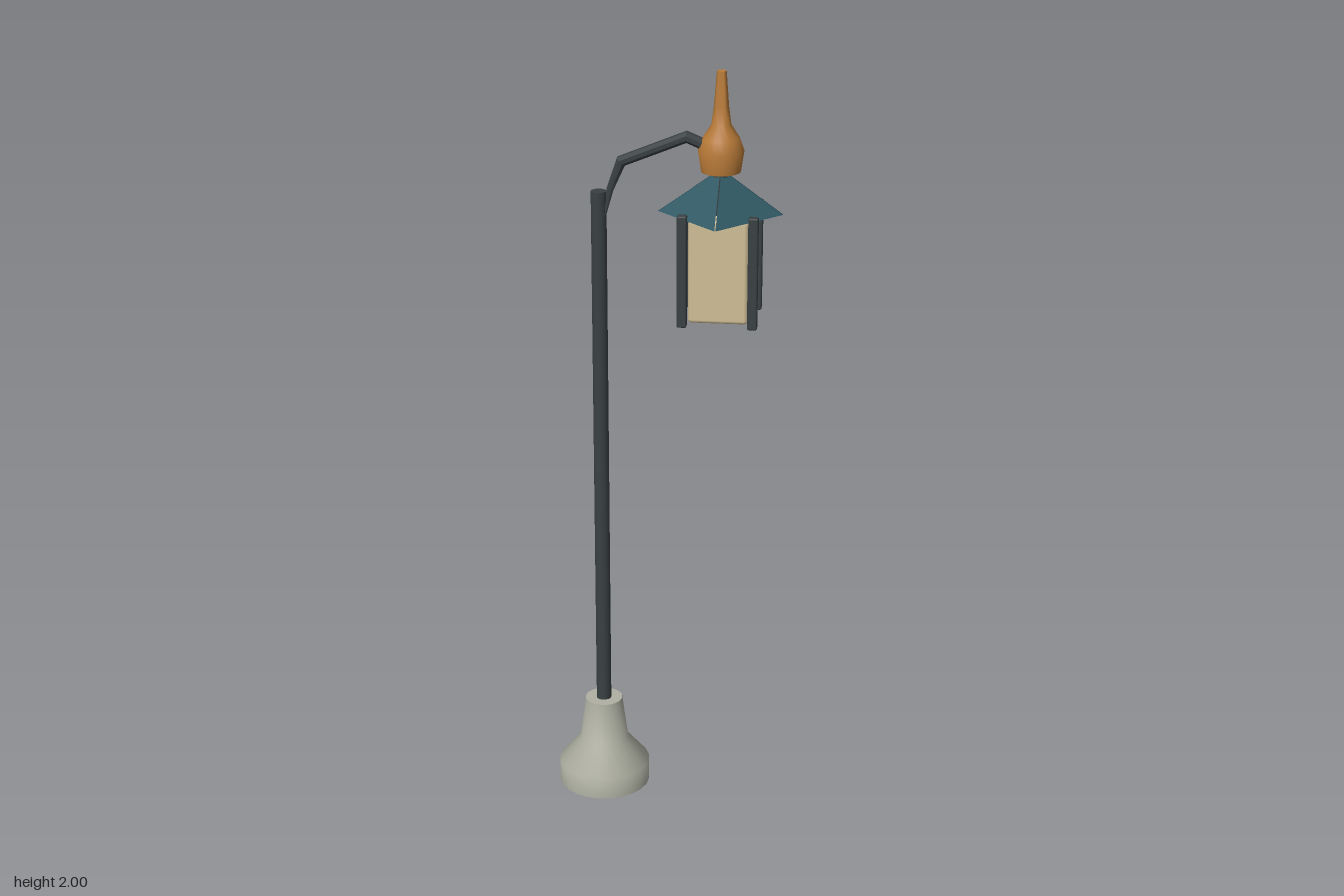
import * as THREE from 'three';
import { toCreasedNormals } from 'three/addons/utils/BufferGeometryUtils.js';
import { RoundedBoxGeometry } from 'three/addons/geometries/RoundedBoxGeometry.js';

const POLE_X = -0.172;
const LAMP_X = 0.136;

const mat = (name, color, extra = {}) => Object.assign(new THREE.MeshStandardMaterial({ color, ...extra }), { name });

export function createModel() {
  const iron = mat('dark iron', 0x3a4143);
  const stone = mat('pale stone', 0xb0b1a3);
  const copper = mat('copper', 0xb87a38);
  const slate = mat('teal roof', 0x30596400 >>> 8, { flatShading: true, side: THREE.DoubleSide });
  const glass = mat('cream glass', 0xd2c198);

  const model = new THREE.Group();
  model.name = 'streetLamp';
  const add = (name, geometry, material, x = 0, y = 0, z = 0) => {
    const mesh = new THREE.Mesh(geometry, material);
    mesh.name = name;
    mesh.position.set(x, y, z);
    model.add(mesh);
    return mesh;
  };
  const lathe = (points, sides) => toCreasedNormals(
    new THREE.LatheGeometry(points.map(([r, y]) => new THREE.Vector2(r, y)), sides), 0.85);

  // Stone foot and pole
  add('base', lathe([[0, 0], [0.123, 0], [0.123, 0.06], [0.065, 0.13], [0.05, 0.25], [0, 0.25]], 24), stone, POLE_X);
  add('pole', new THREE.CylinderGeometry(0.02, 0.02, 1.445, 16), iron, POLE_X, 0.9625);

  // Bent arm: [x, y, thickness, width, tilt] sections joined by an eight-sided skin
  const sections = [
    [-0.16, 1.61, 0.003, 0.012, 1.25],
    [-0.143, 1.69, 0.009, 0.005, 1.2],
    [-0.114, 1.764, 0.014, 0.018, 0.8],
    [0.05, 1.831, 0.014, 0.018, 0.0],
    [0.1, 1.81, 0.013, 0.018, -0.4],
  ];
  const sides = 8;
  const positions = [];
  const index = [];
  sections.forEach(([x, y, thick, wide, tilt], s) => {
    for (let i = 0; i < sides; i++) {
      const a = ((i + 0.5) / sides) * Math.PI * 2;
      const up = Math.cos(a) * thick * 1.08;
      positions.push(x - Math.sin(tilt) * up, y + Math.cos(tilt) * up, Math.sin(a) * wide * 1.08);
      if (s === 0) continue;
      const j = (i + 1) % sides;
      const p = (s - 1) * sides;
      const q = s * sides;
      index.push(p + i, p + j, q + j, p + i, q + j, q + i);
    }
  });
  const last = (sections.length - 1) * sides;
  for (let i = 1; i < sides - 1; i++) {
    index.push(0, i + 1, i, last, last + i, last + i + 1);
  }
  const armGeometry = new THREE.BufferGeometry();
  armGeometry.setAttribute('position', new THREE.Float32BufferAttribute(positions, 3));
  armGeometry.setIndex(index);
  add('arm', toCreasedNormals(armGeometry, 0.5), iron);

  // Turned finial and the stem beneath it
  add('finial', lathe([[0, 1.746], [0.05, 1.746], [0.058, 1.80], [0.046, 1.832], [0.025, 1.865],
    [0.019, 1.91], [0.012, 2.0], [0, 2.0]], 24), copper, LAMP_X);
  add('stem', new THREE.CylinderGeometry(0.02, 0.02, 0.12, 12), iron, LAMP_X, 1.695);

  // Four roof panels with narrow gaps along the hips
  for (let i = 0; i < 4; i++) {
    const start = (i * Math.PI) / 2;
    const mid = start + Math.PI / 4;
    const panel = new THREE.CylinderGeometry(0.018, 0.156, 0.1, 1, 1, true, start, Math.PI / 2);
    add('roofPanel', panel, slate, LAMP_X + Math.sin(mid) * 0.002, 1.688, Math.cos(mid) * 0.002);
  }

  // Glass body with bevelled edges
  add('glassBody', new RoundedBoxGeometry(0.152, 0.272, 0.128, 1, 0.01), glass, LAMP_X, 1.499);

  // Corner posts
  for (const sx of [-1, 1]) {
    for (const sz of [-1, 1]) {
      add('cornerPost', new RoundedBoxGeometry(0.025, 0.292, 0.025, 1, 0.004), iron,
        LAMP_X + sx * 0.089, 1.506, sz * 0.079);
    }
  }
  return model;
}
